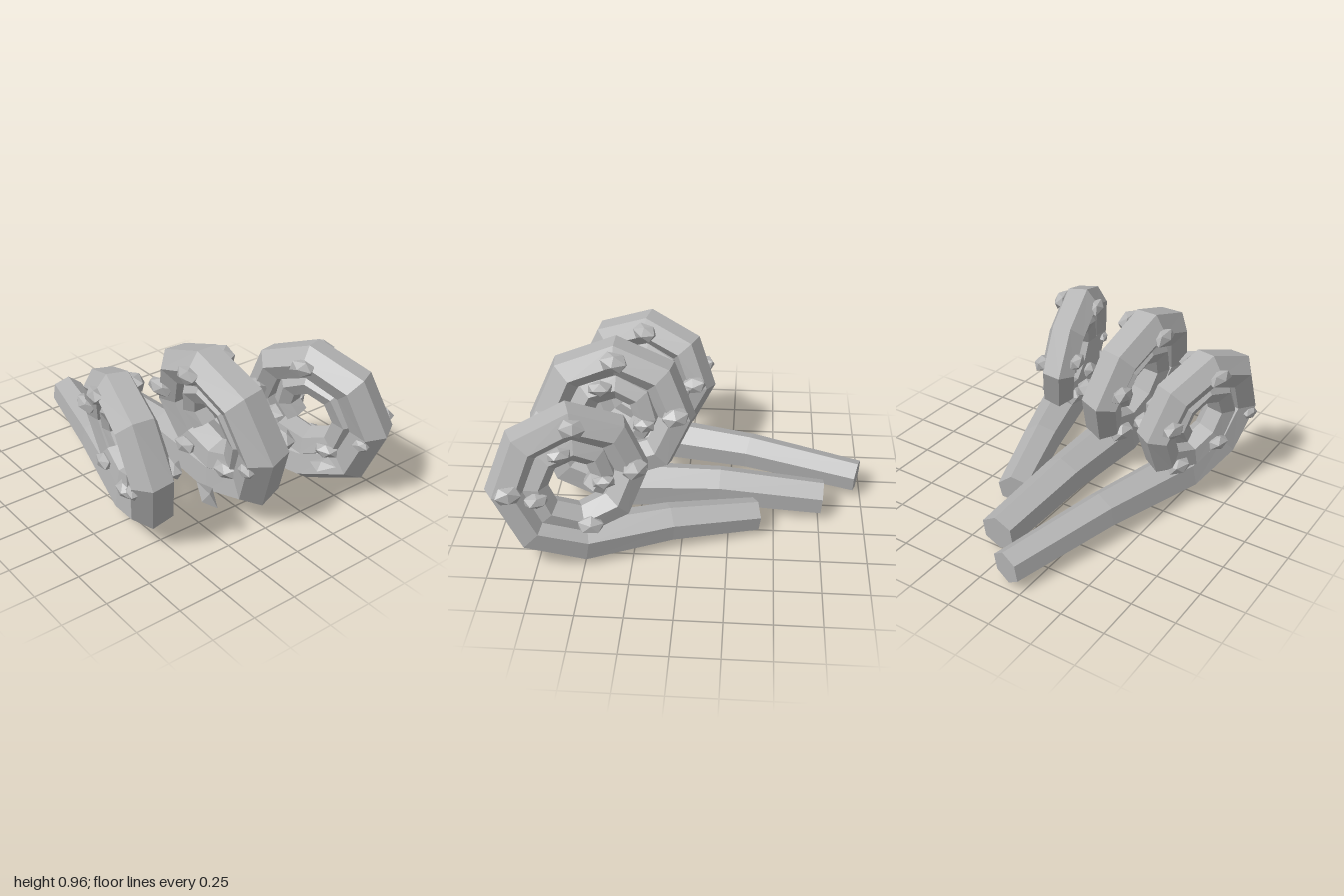
import * as THREE from 'three';

const rad = THREE.MathUtils.degToRad;
const material = new THREE.MeshStandardMaterial({ color: 0xb4b4b4, flatShading: true });
material.name = 'stone grey';

const START = -93, STEP = 45, STEPS = 15;
const FLATTEN = 0.95;                                             // coil is a little wider than tall
const spiralRadius = t => 0.398 - 0.109 * t - 0.02 * t * t;       // t counts turns
const tubeRadius = t => 0.122 - 0.029 * t;

function spiralPoint(deg, turn) {
  const t = turn + (deg - START) / 360, R = spiralRadius(t);
  return { x: R * Math.cos(rad(deg)), y: FLATTEN * R * Math.sin(rad(deg)), r: tubeRadius(t) };
}

// Centre line: straight stem, then nearly two inward turns
function centreLine(stem) {
  const pts = [
    { x: -stem, y: -0.4, r: 0.092 },
    { x: -stem * 0.5, y: -0.362, r: 0.104 },
  ];
  for (let i = 0; i <= STEPS; i++) pts.push(spiralPoint(START + i * STEP, 0));
  return pts;
}

// Six-sided tapering tube swept along the centre line
function coilGeometry(stem) {
  const pts = centreLine(stem), sides = 6;
  const rings = pts.map((p, i) => {
    const a = pts[Math.max(i - 1, 0)], b = pts[Math.min(i + 1, pts.length - 1)];
    const tan = new THREE.Vector2(b.x - a.x, b.y - a.y).normalize();
    return Array.from({ length: sides }, (_, k) => {
      const q = rad(17 + 60 * k), out = p.r * Math.cos(q);
      return [p.x + tan.y * out, p.y - tan.x * out, p.r * 1.08 * Math.sin(q)];
    });
  });
  const pos = [];
  const tri = (...vs) => vs.forEach(v => pos.push(...v));
  for (let i = 0; i < rings.length - 1; i++) {
    for (let k = 0; k < sides; k++) {
      const n = (k + 1) % sides;
      const a = rings[i][k], b = rings[i][n], c = rings[i + 1][n], d = rings[i + 1][k];
      tri(a, d, c);
      tri(a, c, b);
    }
  }
  const first = rings[0], last = rings[rings.length - 1];
  for (let k = 1; k < sides - 1; k++) {
    tri(first[0], first[k], first[k + 1]);
    tri(last[0], last[k + 1], last[k]);
  }
  const g = new THREE.BufferGeometry();
  g.setAttribute('position', new THREE.Float32BufferAttribute(pos, 3));
  g.computeVertexNormals();
  return g;
}

const budGeometry = new THREE.IcosahedronGeometry(1, 0);

// Buds sit on both flat sides: [degrees, turn, size]
const buds = {
  '1': [[-10, 0, 0.65], [88, 0, 1], [160, 0, 1], [232, 0, 1], [-54, 1, 0.95]],
  '-1': [[0, 0, 1], [88, 0, 1], [172, 0, 1], [260, 0, 1], [-17, 1, 0.9], [65, 1, 0.9], [190, 1, 0.85]],
};

function createFrond(name, stem) {
  const frond = new THREE.Group();
  frond.name = name;
  const coil = new THREE.Mesh(coilGeometry(stem), material);
  coil.name = 'coiledStem';
  frond.add(coil);
  for (const side of [1, -1]) {
    buds[side].forEach(([deg, turn, size], i) => {
      const p = spiralPoint(deg, turn);
      const bud = new THREE.Mesh(budGeometry, material);
      bud.name = 'bud';
      bud.position.set(p.x, p.y, side * p.r);
      bud.scale.set(0.08, 0.056, 0.046).multiplyScalar(size);
      bud.rotation.set(0.3 * i, 0, 0.25 * Math.sin(i * 2.4));
      frond.add(bud);
    });
  }
  return frond;
}

export function createModel() {
  const model = new THREE.Group();
  model.name = 'curledFronds';

  // name, centre, scale, stem length, yaw, lean
  const fronds = [
    ['frontFrond', [0.247, 0.495, 0.53], 0.98, 1.305, -14.5, 9],
    ['middleFrond', [0.38, 0.52, 0.055], 1.07, 1.075, -1, 12.5],
    ['backFrond', [0.545, 0.48, -0.475], 0.98, 0.995, 18, 8],
  ];
  for (const [name, centre, scale, stem, yaw, lean] of fronds) {
    const frond = createFrond(name, stem);
    frond.position.set(...centre);
    frond.scale.setScalar(scale);
    frond.rotation.set(rad(lean), rad(yaw), 0, 'YXZ');
    model.add(frond);
  }

  // Loose thin leaflets beside the coils: position, tilt
  const leaflets = [
    [[0.68, 0.31, 0.34], [0.2, 0.4, -1.0]],
    [[0.52, 0.52, -0.21], [0.7, 0.2, 0.1]],
    [[0.78, 0.27, -0.36], [0.4, 0.2, 0.2]],
  ];
  for (const [p, r] of leaflets) {
    const leaf = new THREE.Mesh(new THREE.OctahedronGeometry(1, 0), material);
    leaf.name = 'leaflet';
    leaf.position.set(...p);
    leaf.scale.set(0.09, 0.02, 0.055);
    leaf.rotation.set(...r);
    model.add(leaf);
  }
  return model;
}
